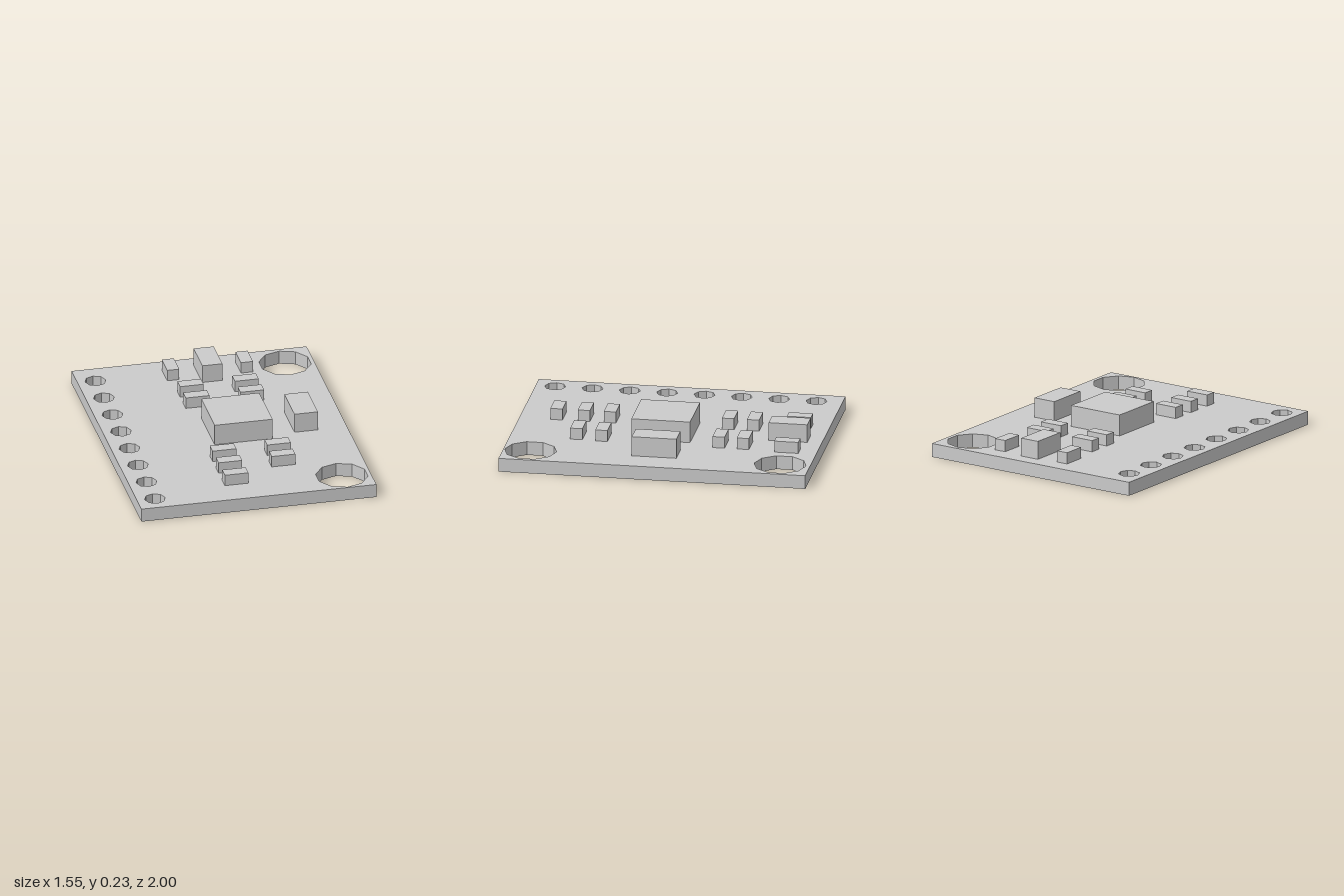
import * as THREE from 'three';

const material = new THREE.MeshStandardMaterial({ color: 0xcccccc, flatShading: true });
const BOARD_TOP = 0.09;

// Regular polygon hole with a corner pointing along z
function polygonHole(x, z, radius, sides) {
  const points = [];
  for (let i = 0; i < sides; i++) {
    const a = Math.PI / 2 + (i / sides) * Math.PI * 2;
    points.push(new THREE.Vector2(x + radius * Math.cos(a), z + radius * Math.sin(a)));
  }
  return new THREE.Path(points);
}

// Circuit board: slab with a row of pin holes and two mounting holes
function createBoard() {
  const w = 0.775, d = 1;
  const shape = new THREE.Shape([
    new THREE.Vector2(-w, -d), new THREE.Vector2(w, -d),
    new THREE.Vector2(w, d), new THREE.Vector2(-w, d),
  ]);
  for (let i = 0; i < 8; i++) shape.holes.push(polygonHole(-0.657, -0.831 + i * 0.2435, 0.068, 8));
  for (const z of [-0.805, 0.822]) shape.holes.push(polygonHole(0.588, z, 0.169, 10));
  const geometry = new THREE.ExtrudeGeometry(shape, { depth: BOARD_TOP, bevelEnabled: false });
  geometry.rotateX(Math.PI / 2).translate(0, BOARD_TOP, 0);
  const board = new THREE.Mesh(geometry, material);
  board.name = 'board';
  return board;
}

// Box-shaped component standing on the board
function component(name, x, z, width, depth, height) {
  const mesh = new THREE.Mesh(new THREE.BoxGeometry(width, height, depth), material);
  mesh.name = name;
  mesh.position.set(x, BOARD_TOP + height / 2, z);
  return mesh;
}

export function createModel() {
  const group = new THREE.Group();
  group.name = 'circuitBoard';
  group.add(createBoard());

  // Large components
  group.add(component('mainChip', 0.079, 0.028, 0.382, 0.383, 0.14));
  group.add(component('sideChip', 0.505, 0.018, 0.155, 0.291, 0.13));
  group.add(component('rearChip', 0.074, -0.78, 0.132, 0.251, 0.12));

  // Small components lying across the board
  const across = [
    [-0.1, -0.525], [-0.1, -0.361], [-0.1, 0.409], [-0.1, 0.578], [-0.1, 0.758],
    [0.261, -0.52], [0.261, -0.361], [0.261, 0.403], [0.253, 0.568],
  ];
  for (const [x, z] of across) group.add(component('smallComponent', x, z, 0.156, 0.079, 0.075));

  // Small components turned lengthways at the rear
  for (const x of [-0.167, 0.319]) group.add(component('rearSmallComponent', x, -0.806, 0.079, 0.156, 0.075));

  return group;
}
